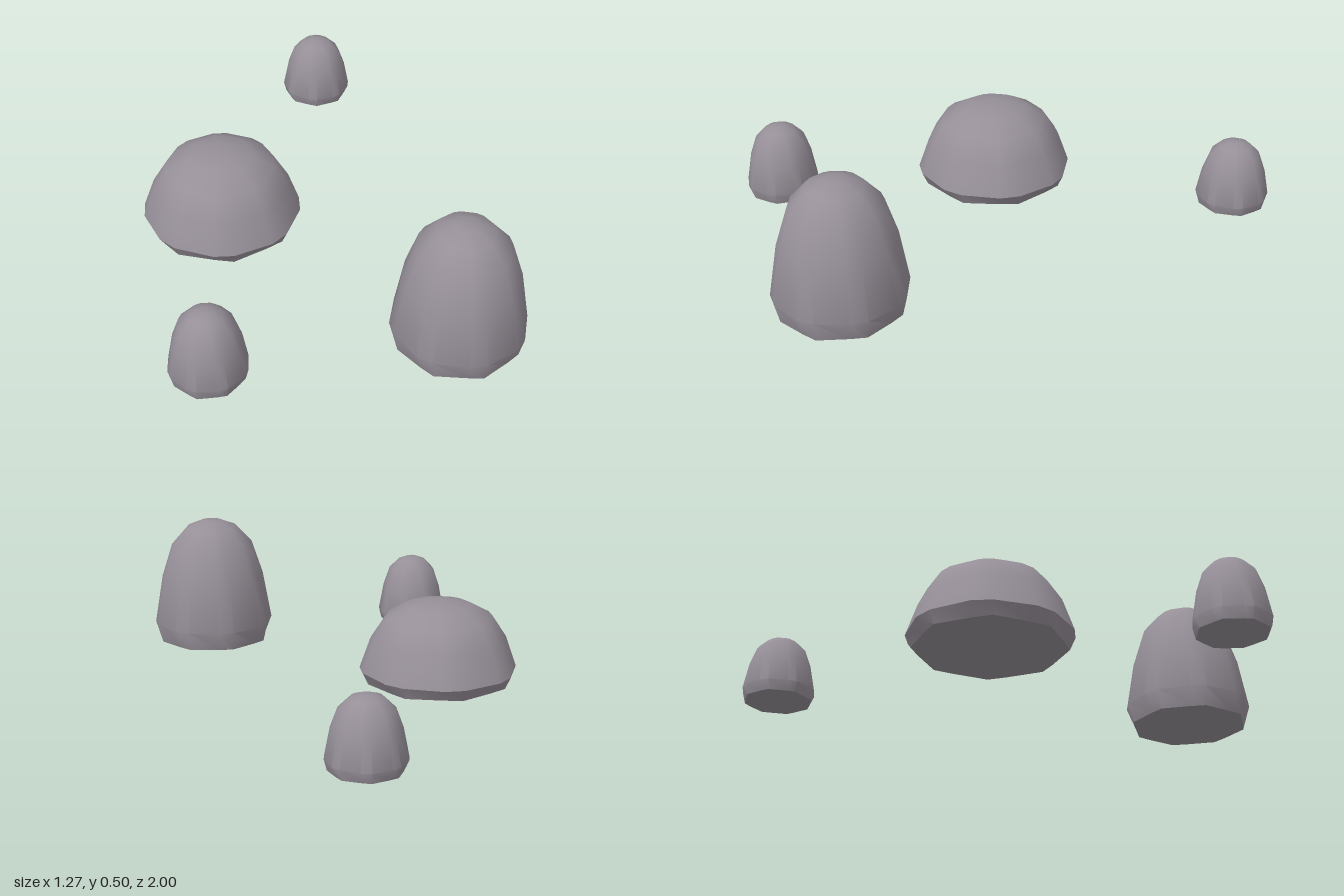
import * as THREE from 'three';
import { toCreasedNormals } from 'three/addons/utils/BufferGeometryUtils.js';

const SIDES = 16;
// Shared boulder profile, bottom to top: [radius, height] as fractions of each rock
const PROFILE = [[0, 0], [0.93, 0], [1, 0.15], [0.86, 0.54], [0.68, 0.81], [0.42, 0.95], [0.17, 1], [0, 1]];

// Sixteen sides of alternating width; the foot is cut to an octagon
function rockGeometry(radius, height, turn) {
  const k = 100; // built large so that crease matching is precise
  const pts = PROFILE.map(([r, y]) => new THREE.Vector2(r * radius * k, y * height * k));
  const geo = new THREE.LatheGeometry(pts, SIDES);
  const pos = geo.attributes.position;
  for (let v = 0; v < pos.count; v++) {
    const row = v % pts.length;
    const side = Math.floor(v / pts.length) % SIDES;
    const odd = side % 2;
    const angle = THREE.MathUtils.degToRad(Math.floor(side / 2) * 45 + odd * 30 + turn);
    const r = pts[row].x * (row === 1 && odd ? 0.945 : 1);
    pos.setXYZ(v, Math.sin(angle) * r, pts[row].y, Math.cos(angle) * r);
  }
  return toCreasedNormals(geo, THREE.MathUtils.degToRad(36)).scale(1 / k, 1 / k, 1 / k);
}

export function createModel() {
  const group = new THREE.Group();
  group.name = 'boulders';
  const stone = new THREE.MeshStandardMaterial({ color: 0x968f98 });
  stone.name = 'stone grey';

  // name, x, base height, z, radius, height, turn in degrees
  const rocks = [
    ['tallBoulder', 0.39, 0, 0.755, 0.244, 0.5, -37],
    ['wideBoulder', -0.32, 0.005, -0.063, 0.302, 0.308, 0],
    ['smallFrontBoulder', -0.495, 0, 0.765, 0.142, 0.28, 20],
    ['smallBackBoulder', 0.215, 0.005, -0.86, 0.14, 0.257, -10],
  ];
  for (const [name, x, y, z, radius, height, turn] of rocks) {
    const rock = new THREE.Mesh(rockGeometry(radius, height, turn), stone);
    rock.name = name;
    rock.position.set(x, y, z);
    group.add(rock);
  }
  return group;
}
